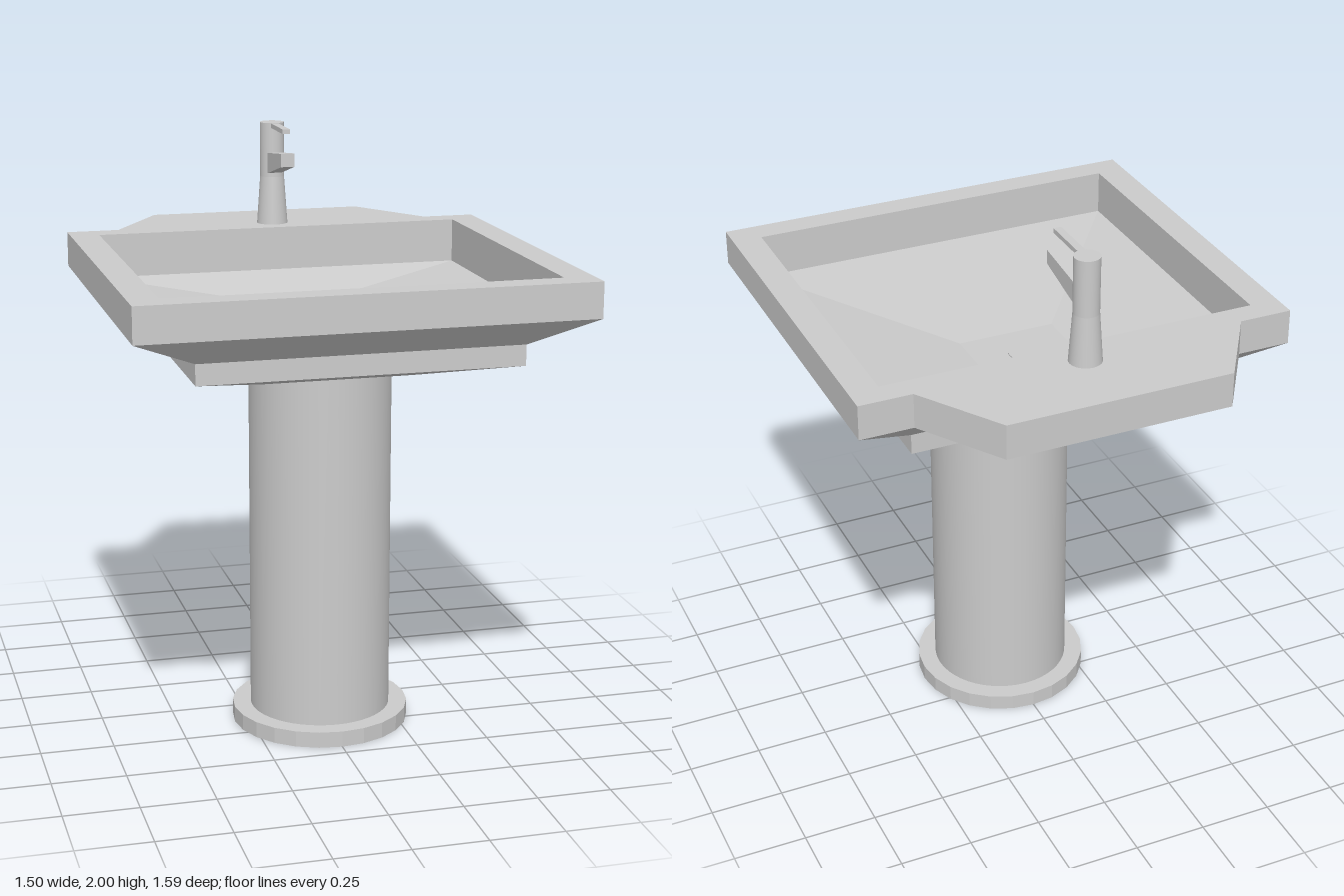
import * as THREE from 'three';

const material = new THREE.MeshStandardMaterial({ color: 0xcccccc });
const flatMaterial = new THREE.MeshStandardMaterial({ color: 0xcccccc, flatShading: true });

function add(parent, name, geometry, mat = material) {
  const mesh = new THREE.Mesh(geometry, mat);
  mesh.name = name;
  parent.add(mesh);
  return mesh;
}

// Skin through level rectangles [y, halfWidth, zBack, zFront].
// Rising rings face outward, falling rings face inward.
function rectLoft(rings, { capStart = false, capEnd = false }) {
  const loops = rings.map(([y, w, z0, z1]) => [[-w, y, z1], [w, y, z1], [w, y, z0], [-w, y, z0]]);
  const pos = [];
  const quad = (a, b, c, d) => pos.push(...a, ...b, ...c, ...a, ...c, ...d);
  for (let k = 0; k + 1 < loops.length; k++) {
    for (let i = 0; i < 4; i++) {
      const j = (i + 1) % 4;
      quad(loops[k][i], loops[k][j], loops[k + 1][j], loops[k + 1][i]);
    }
  }
  if (capStart) quad(...[...loops[0]].reverse());
  if (capEnd) quad(...loops[loops.length - 1]);
  const g = new THREE.BufferGeometry();
  g.setAttribute('position', new THREE.Float32BufferAttribute(pos, 3));
  g.computeVertexNormals();
  return g;
}

const points = (list) => list.map(([x, z]) => new THREE.Vector2(x, -z));

export function createModel() {
  const model = new THREE.Group();
  model.name = 'pedestalSink';

  // Pedestal
  const pedestal = new THREE.Group();
  pedestal.name = 'pedestal';
  pedestal.position.z = 0.145;
  model.add(pedestal);
  add(pedestal, 'foot', new THREE.CylinderGeometry(0.305, 0.305, 0.055, 24), flatMaterial).position.y = 0.0275;
  add(pedestal, 'column', new THREE.CylinderGeometry(0.242, 0.242, 1.235, 48)).position.y = 0.6675;

  // Basin
  const basin = new THREE.Group();
  basin.name = 'basin';
  model.add(basin);

  // Deck: square rim with a trapezoid ledge at the back and the bowl opening
  const deck = new THREE.Shape(points([
    [-0.75, 0.795], [0.75, 0.795], [0.75, -0.51], [0.568, -0.51],
    [0.385, -0.795], [-0.385, -0.795], [-0.568, -0.51], [-0.75, -0.51],
  ]));
  deck.holes.push(new THREE.Path(points([[-0.65, 0.705], [-0.65, -0.425], [0.65, -0.425], [0.65, 0.705]])));
  const deckGeometry = new THREE.ExtrudeGeometry(deck, { depth: 0.12, bevelEnabled: false });
  deckGeometry.rotateX(-Math.PI / 2).translate(0, 1.517, 0);
  add(basin, 'deck', deckGeometry);

  // Stepped underside
  add(basin, 'underside', rectLoft([
    [1.27, 0.25, -0.1, 0.39],
    [1.352, 0.538, -0.4, 0.683],
    [1.422, 0.538, -0.4, 0.683],
    [1.517, 0.75, -0.51, 0.795],
  ], { capStart: true }));

  // Bowl sloping to a small flat floor
  add(basin, 'bowl', rectLoft([
    [1.517, 0.65, -0.425, 0.705],
    [1.485, 0.65, -0.425, 0.705],
    [1.424, 0.17, -0.215, 0.08],
  ], { capEnd: true }));

  add(basin, 'drain', new THREE.CylinderGeometry(0.052, 0.052, 0.006, 24)).position.set(0, 1.425, -0.065);

  // Faucet
  const faucet = new THREE.Group();
  faucet.name = 'faucet';
  faucet.position.set(0, 1.637, -0.533);
  model.add(faucet);

  const bodyLower = new THREE.CylinderGeometry(0.043, 0.055, 0.17, 32, 1, true);
  add(faucet, 'bodyLower', bodyLower).position.y = 0.085;
  add(faucet, 'bodyUpper', new THREE.CylinderGeometry(0.043, 0.043, 0.193, 32)).position.y = 0.2665;

  // Wedge spout: side profile in (forward, up), extruded across the width
  const profile = new THREE.Shape([[0.02, 0.18], [0.235, 0.233], [0.235, 0.28], [0.02, 0.255]]
    .map(([z, y]) => new THREE.Vector2(z, y)));
  const spout = new THREE.ExtrudeGeometry(profile, { depth: 0.05, bevelEnabled: false });
  spout.translate(0, 0, -0.025).rotateY(-Math.PI / 2);
  add(faucet, 'spout', spout);

  add(faucet, 'lever', new THREE.BoxGeometry(0.026, 0.016, 0.2)).position.set(0, 0.354, 0.115);

  return model;
}
